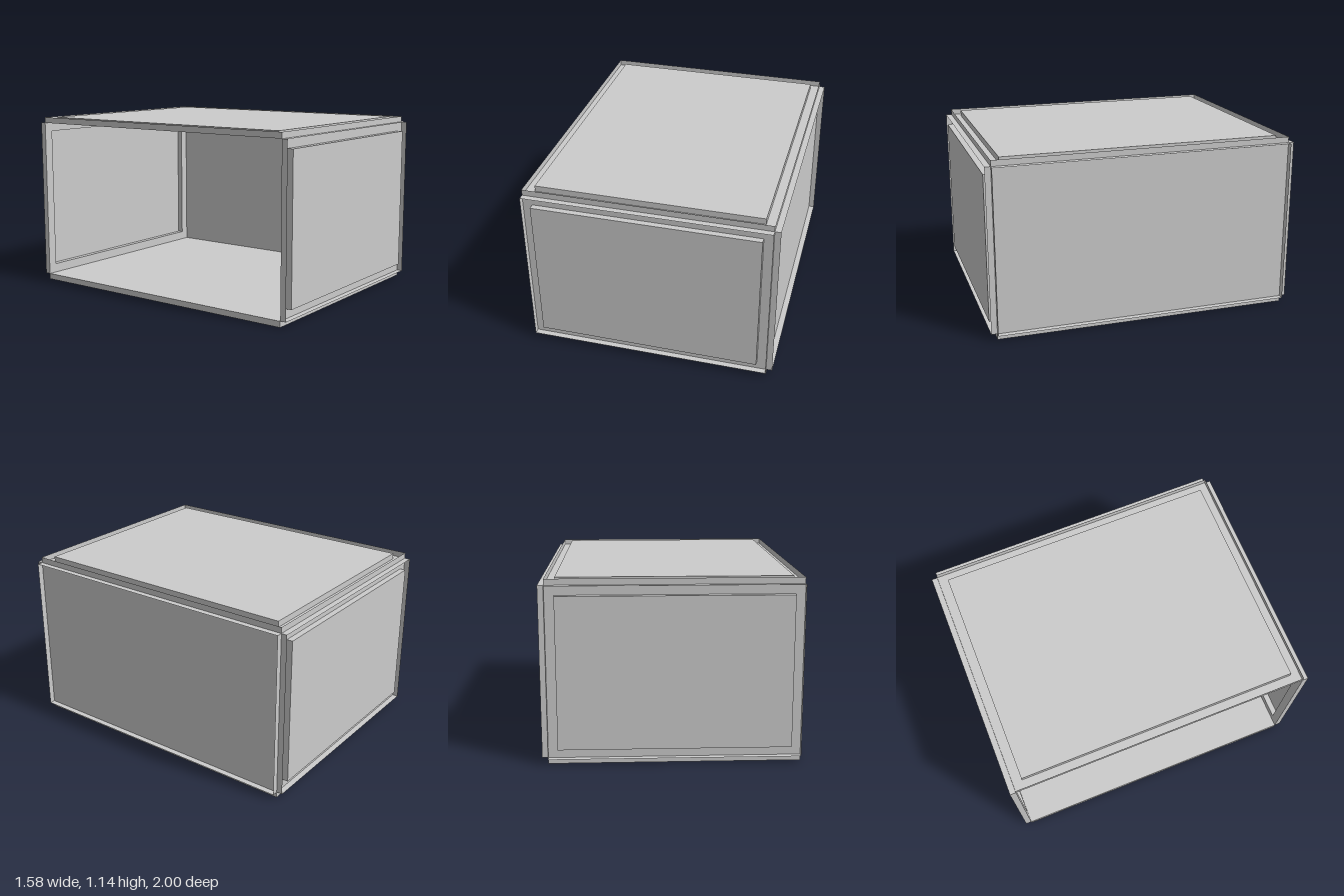
import * as THREE from 'three';

const FLANGE = 0.038; // depth of the bent edges
const MARGIN = 0.06;  // flat border around a raised centre

// A folded sheet in the XY plane: rectangular loops joined in order, last one capped.
function panGeometry(w, h, raised) {
  const loops = [[0, FLANGE], [0, 0]];
  if (raised) loops.push([MARGIN, 0], [MARGIN, FLANGE]);
  const rects = loops.map(([inset, z]) => {
    const x = w / 2 - inset, y = h / 2 - inset;
    return [[-x, -y, z], [x, -y, z], [x, y, z], [-x, y, z]];
  });
  const pos = [];
  const quad = (a, b, c, d) => pos.push(...a, ...b, ...c, ...a, ...c, ...d);
  for (let i = 0; i < rects.length - 1; i++) {
    for (let k = 0; k < 4; k++) {
      const n = (k + 1) % 4;
      quad(rects[i][k], rects[i][n], rects[i + 1][n], rects[i + 1][k]);
    }
  }
  quad(...rects[rects.length - 1]);
  const geo = new THREE.BufferGeometry();
  geo.setAttribute('position', new THREE.Float32BufferAttribute(pos, 3));
  geo.computeVertexNormals();
  return geo;
}

export function createModel() {
  const group = new THREE.Group();
  const material = new THREE.MeshStandardMaterial({
    color: 0xcccccc, side: THREE.DoubleSide, flatShading: true,
  });

  // Core box, open on the -x side; every pan's flanges point outward.
  const X0 = -0.788, X1 = 0.75, Y0 = 0.038, Y1 = 1.098, Z = 0.962;
  const w = X1 - X0, h = Y1 - Y0, d = Z * 2;
  const cx = (X0 + X1) / 2, cy = (Y0 + Y1) / 2;
  const q = Math.PI / 2;

  const addPan = (name, pw, ph, raised, position, rotX, rotY) => {
    const mesh = new THREE.Mesh(panGeometry(pw, ph, raised), material);
    mesh.name = name;
    mesh.position.set(...position);
    mesh.rotation.set(rotX, rotY, 0);
    group.add(mesh);
  };

  // Panels with a raised centre
  addPan('frontPanel', w, h, true, [cx, cy, Z], 0, 0);
  addPan('backPanel', w, h, true, [cx, cy, -Z], 0, Math.PI);
  addPan('topPanel', w, d, true, [cx, Y1, 0], -q, 0);

  // Plain panels
  addPan('bottomPanel', w, d, false, [cx, Y0, 0], q, 0);
  addPan('leftPanel', d, h, false, [X1, cy, 0], 0, q);

  return group;
}
